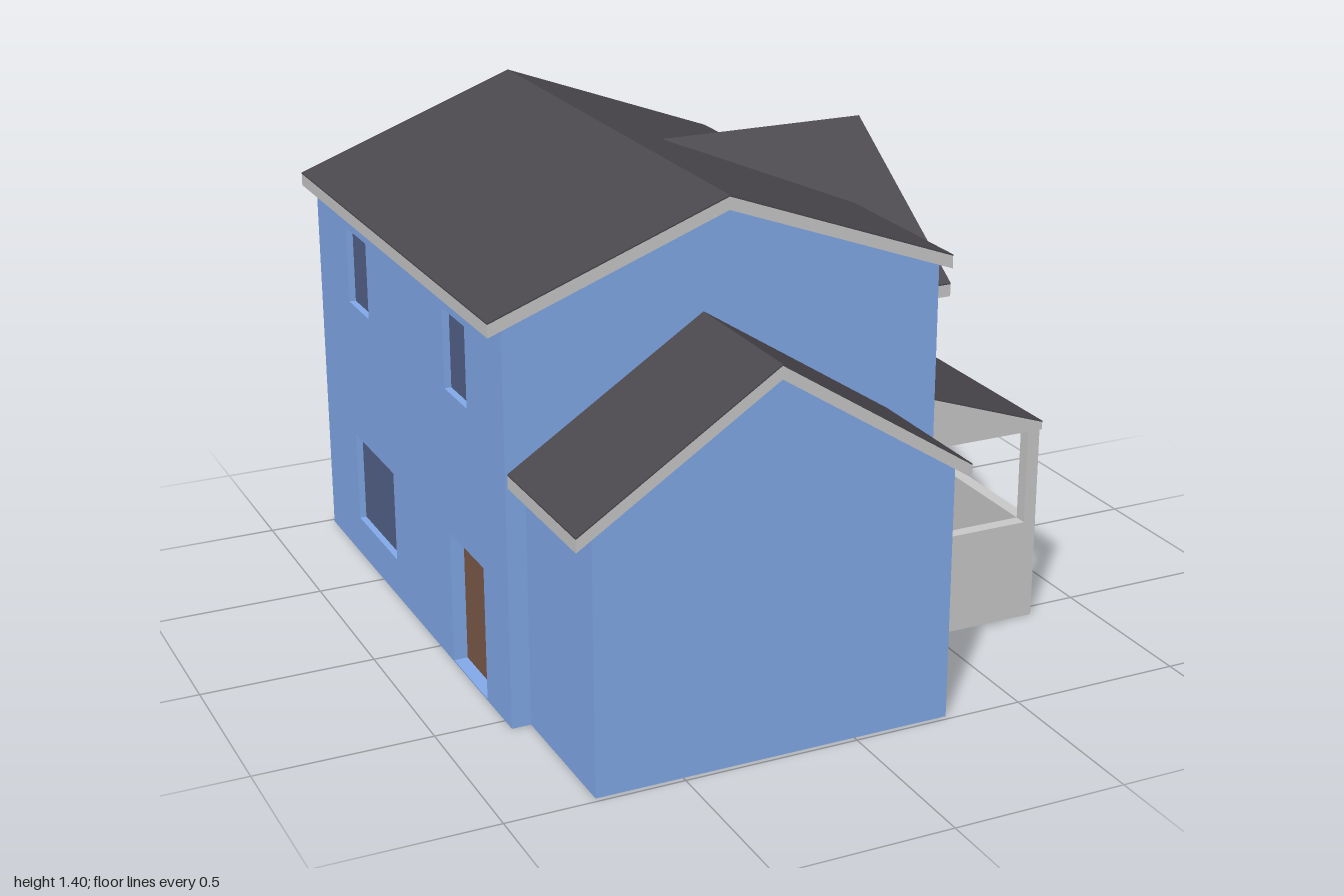
import * as THREE from 'three';

const material = (color) => new THREE.MeshStandardMaterial({ color, flatShading: true });
const SIDING = material(0x84acec), TRIM = material(0xcccccc), TILES = material(0x4b494e);
const GLASS = material(0x55638c), DOOR = material(0x7e5a4a);

function polygon(points) {
  return new THREE.Shape(points.map(([x, y]) => new THREE.Vector2(x, y)));
}

// Rectangle as [u0, u1, y0, y1]
const rectPoints = ([u0, u1, y0, y1]) => [[u0, y0], [u1, y0], [u1, y1], [u0, y1]];

// Five-sided gable outline
function gablePoints(u0, u1, base, ridgeU, ridgeY, slope) {
  const at = (u) => ridgeY - slope * Math.abs(u - ridgeU);
  return [[u0, base], [u1, base], [u1, at(u1)], [ridgeU, ridgeY], [u0, at(u0)]];
}

// Chevron band hanging `t` below the ridge line, cut vertically at the eaves
function chevronPoints(u0, u1, ridgeU, ridgeY, slope, t) {
  const at = (u) => ridgeY - slope * Math.abs(u - ridgeU);
  return [[u0, at(u0) - t], [ridgeU, ridgeY - t], [u1, at(u1) - t],
    [u1, at(u1)], [ridgeU, ridgeY], [u0, at(u0)]];
}

export function createModel() {
  const house = new THREE.Group();
  house.name = 'house';

  // Extrude a profile from a to b along z, or along x (profile u = -z)
  function extrude(name, points, axis, a, b, mat, holes = []) {
    const shape = polygon(points);
    holes.forEach((h) => shape.holes.push(polygon(rectPoints(h))));
    const geometry = new THREE.ExtrudeGeometry(shape, { depth: b - a, bevelEnabled: false });
    geometry.translate(0, 0, a);
    if (axis === 'x') geometry.rotateY(Math.PI / 2);
    const mesh = new THREE.Mesh(geometry, mat);
    mesh.name = name;
    house.add(mesh);
  }

  function box(name, x0, x1, y0, y1, z0, z1, mat) {
    const mesh = new THREE.Mesh(new THREE.BoxGeometry(x1 - x0, y1 - y0, z1 - z0), mat);
    mesh.position.set((x0 + x1) / 2, (y0 + y1) / 2, (z0 + z1) / 2);
    mesh.name = name;
    house.add(mesh);
  }

  // Pale roof slab with a thin dark tile layer on top
  function roof(name, u0, u1, ridgeU, ridgeY, slope, axis, a, b) {
    const skin = 0.004;
    extrude(name + 'Trim', chevronPoints(u0, u1, ridgeU, ridgeY - skin, slope, 0.036), axis, a, b, TRIM);
    extrude(name + 'Tiles', chevronPoints(u0, u1, ridgeU, ridgeY, slope, skin), axis, a, b, TILES);
  }

  // Main block: gabled core plus side walls pierced by openings
  const BACK = -0.985, FRONT = 0.55;
  extrude('mainBody', gablePoints(-0.75, 0.425, 0, -0.165, 1.36, 0.37), 'z', BACK, FRONT, SIDING);
  roof('mainRoof', -0.84, 0.512, -0.165, 1.4, 0.37, 'z', -1, 0.56);

  const leftWindows = [[-0.71, -0.53, 0.82, 1.05], [0.11, 0.28, 0.82, 1.05], [-0.71, -0.365, 0.12, 0.395]];
  const sideDoor = [0.11, 0.37, 0.004, 0.395];
  const frontDoor = [-0.39, -0.14, 0.06, 0.555];
  const flip = ([z0, z1, y0, y1]) => [-z1, -z0, y0, y1];
  const wall = rectPoints([-FRONT, -BACK, 0, 1.14]);
  extrude('leftWall', wall, 'x', -0.8, -0.75, SIDING, [...leftWindows, sideDoor].map(flip));
  extrude('rightWall', wall, 'x', 0.425, 0.475, SIDING, [flip(frontDoor)]);

  // Recessed panes and doors
  leftWindows.forEach(([z0, z1, y0, y1]) => box('window', -0.78, -0.75, y0, y1, z0, z1, GLASS));
  box('sideDoor', -0.76, -0.745, sideDoor[2], sideDoor[3], sideDoor[0], sideDoor[1], DOOR);
  box('porchDoor', 0.42, 0.435, frontDoor[2], frontDoor[3], frontDoor[0], frontDoor[1], DOOR);

  // Front wing
  extrude('wingBody', gablePoints(-0.745, 0.28, 0, -0.235, 1.055, 0.646), 'z', 0.5, 0.985, SIDING);
  roof('wingRoof', -0.793, 0.323, -0.235, 1.092, 0.646, 'z', 0.52, 1);

  // Dormer
  const dormerWindow = [-0.35, -0.17, 0.81, 1.04];
  const dormer = gablePoints(-0.245, 0.785, 0.67, 0.27, 1.292, 0.655);
  extrude('dormerBody', dormer, 'x', 0.4, 0.62, SIDING);
  extrude('dormerFront', dormer, 'x', 0.62, 0.65, SIDING, [flip(dormerWindow)]);
  box('dormerWindow', 0.61, 0.63, dormerWindow[2], dormerWindow[3], dormerWindow[0], dormerWindow[1], GLASS);
  roof('dormerRoof', -0.287, 0.829, 0.27, 1.33, 0.655, 'x', 0.03, 0.675);

  // Porch: floor, low walls, posts
  const P0 = 0.475, P1 = 0.83, T = 0.038, PF = 0.545;
  box('porchFloor', P0, P1, 0, 0.055, BACK, PF, TRIM);
  for (const [z0, z1] of [[-0.018, PF], [BACK, -0.51]]) {
    box('porchFrontWall', P1 - T, P1, 0.055, 0.3, z0, z1, TRIM);
  }
  for (const z of [BACK, PF - T]) {
    box('porchSideWall', P0, P1 - T, 0.055, 0.3, z, z + T, TRIM);
  }
  for (const [z0, z1] of [[PF - T, PF], [-0.018, 0.01], [-0.537, -0.51], [BACK, BACK + T]]) {
    box('porchPost', P1 - T, P1, 0.3, 0.58, z0, z1, TRIM);
  }

  // Porch lean-to roof
  extrude('porchRoofTrim', [[P0, 0.58], [0.838, 0.58], [0.838, 0.602], [P0, 0.728]], 'z', BACK, PF, TRIM);
  extrude('porchRoofTiles', [[P0, 0.728], [0.838, 0.602], [0.838, 0.606], [P0, 0.732]], 'z', BACK, PF, TILES);

  return house;
}
